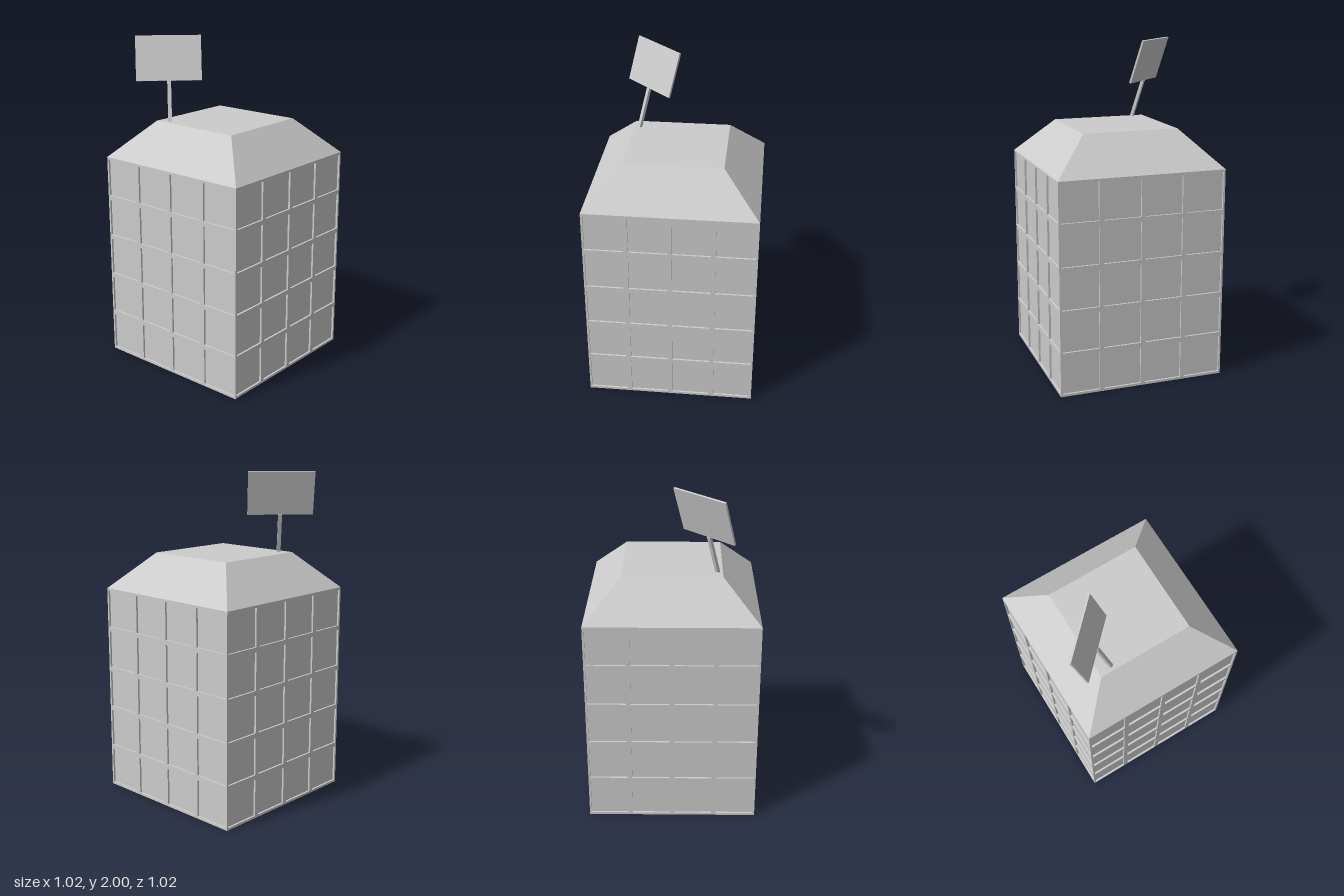
import * as THREE from 'three';

const HALF = 0.51;      // half width of the block
const WALL = 1.285;     // wall height
const DEPTH = 0.012;    // window recess
const COLS = 4, ROWS = 5;
const WIN = 0.228;      // window opening size

const material = new THREE.MeshStandardMaterial({ color: 0xcccccc, flatShading: true });

function part(name, geometry, parent) {
  const mesh = new THREE.Mesh(geometry, material);
  mesh.name = name;
  parent.add(mesh);
  return mesh;
}

function rectangle(path, x0, y0, x1, y1) {
  path.moveTo(x0, y0);
  path.lineTo(x1, y0);
  path.lineTo(x1, y1);
  path.lineTo(x0, y1);
  path.closePath();
  return path;
}

// Grid of window openings cut in a thin slab
function windowFrame(halfWidth) {
  const shape = rectangle(new THREE.Shape(), -halfWidth, 0, halfWidth, WALL);
  const px = 0.256, py = WALL / ROWS;
  for (let c = 0; c < COLS; c++) {
    for (let r = 0; r < ROWS; r++) {
      const x = (c - (COLS - 1) / 2) * px;
      const y = (r + 0.5) * py;
      const h = WIN / 2;
      shape.holes.push(rectangle(new THREE.Path(), x - h, y - h, x + h, y + h));
    }
  }
  return new THREE.ExtrudeGeometry(shape, { depth: DEPTH, bevelEnabled: false });
}

export function createModel() {
  const model = new THREE.Group();
  model.name = 'towerBlock';

  // Solid core whose faces are the window panes
  const inner = 2 * (HALF - DEPTH);
  part('windowCore', new THREE.BoxGeometry(inner, WALL, inner), model).position.y = WALL / 2;

  // Window frames on all four sides; the side pair fits between front and back
  ['front', 'left', 'back', 'right'].forEach((side, i) => {
    const pivot = new THREE.Group();
    pivot.name = side + 'Wall';
    pivot.rotation.y = i * Math.PI / 2;
    const frame = part(side + 'WindowFrame', windowFrame(i % 2 ? HALF - DEPTH : HALF), pivot);
    frame.position.z = HALF - DEPTH;
    model.add(pivot);
  });

  // Truncated pyramid roof
  const roofHeight = 0.22;
  const roofGeometry = new THREE.CylinderGeometry(0.293 * Math.SQRT2, HALF * Math.SQRT2, roofHeight, 4);
  roofGeometry.rotateY(Math.PI / 4);
  part('roof', roofGeometry, model).position.y = WALL + roofHeight / 2;

  // Leaning sign near the back right corner of the roof
  const sign = new THREE.Group();
  sign.name = 'sign';
  sign.position.set(-0.262, WALL + roofHeight, -0.212);
  sign.rotation.set(-0.315, -Math.PI / 4, 0, 'YXZ');
  const poleLength = 0.247, boardHeight = 0.274;
  part('signPole', new THREE.BoxGeometry(0.023, poleLength + 0.03, 0.018), sign)
    .position.y = (poleLength - 0.03) / 2;
  part('signBoard', new THREE.BoxGeometry(0.396, boardHeight, 0.012), sign)
    .position.y = poleLength + boardHeight / 2;
  model.add(sign);

  return model;
}
